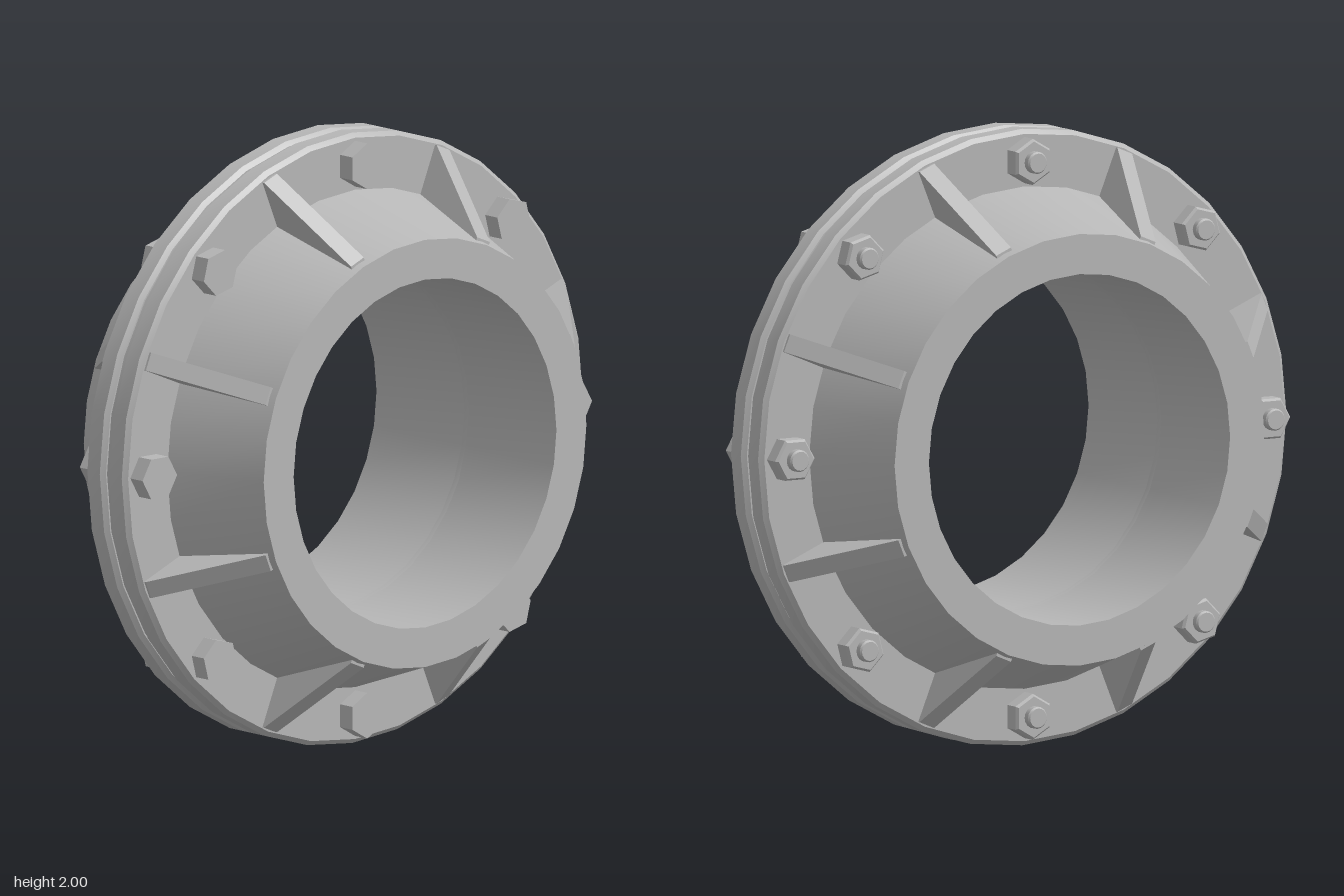
import * as THREE from 'three';
import { toCreasedNormals } from 'three/addons/utils/BufferGeometryUtils.js';

const steel = new THREE.MeshStandardMaterial({ color: 0xb6b6b6 });
steel.name = 'grey steel';

// Revolves an [radius, z] outline about the z axis, keeping hard edges
function turned(points, sides) {
  const g = new THREE.LatheGeometry(points.map(([r, z]) => new THREE.Vector2(r, z)), sides);
  g.rotateX(Math.PI / 2);
  return toCreasedNormals(g, 0.5);
}

function part(name, geometry, parent) {
  const m = new THREE.Mesh(geometry, steel);
  m.name = name;
  parent.add(m);
  return m;
}

export function createModel() {
  const model = new THREE.Group();
  model.name = 'flangedCoupling';
  const body = new THREE.Group();
  body.name = 'coupling';
  body.position.y = 1;
  model.add(body);

  // Flange disc with bevelled rim, tapered hub and straight bore
  const flangeGeo = turned([
    [0.57, 0.01], [0.985, 0.01], [1, 0.023], [1, 0.082], [0.985, 0.096],
    [0.815, 0.096], [0.7, 0.43], [0.57, 0.43], [0.57, 0.01],
  ], 32);

  // Triangular stiffening rib, in radius and z
  const ribShape = new THREE.Shape([
    [0.69, 0.08], [0.978, 0.08], [0.978, 0.104], [0.715, 0.408], [0.69, 0.408],
  ].map(([r, z]) => new THREE.Vector2(r, z)));
  const ribWidth = 0.06;
  const ribGeo = new THREE.ExtrudeGeometry(ribShape, { depth: ribWidth, bevelEnabled: false });
  ribGeo.translate(0, 0, -ribWidth / 2);
  ribGeo.rotateX(Math.PI / 2);

  // Two identical halves, back to back
  ['frontHalf', 'backHalf'].forEach((name, h) => {
    const half = new THREE.Group();
    half.name = name;
    half.rotation.y = h * Math.PI;
    body.add(half);
    part('flangeAndHub', flangeGeo, half);
    for (let i = 0; i < 8; i++) {
      part('rib', ribGeo, half).rotation.z = (i + 0.5) * Math.PI / 4;
    }
  });

  // Gasket between the flanges
  part('gasket', turned([
    [0.57, -0.012], [0.98, -0.012], [0.98, 0.012], [0.57, 0.012], [0.57, -0.012],
  ], 32), body);

  // Bolts: hexagonal head in front, nut and shank end behind
  const headGeo = turned([[0, 0.09], [0.075, 0.09], [0.075, 0.154], [0, 0.154]], 6);
  const nutGeo = turned([[0, -0.154], [0.067, -0.154], [0.075, -0.145], [0.075, -0.09], [0, -0.09]], 6);
  const shankGeo = turned([[0, -0.18], [0.031, -0.18], [0.036, -0.174], [0.036, 0.1], [0, 0.1]], 16);
  for (let i = 0; i < 8; i++) {
    const bolt = new THREE.Group();
    const a = i * Math.PI / 4;
    bolt.name = 'bolt';
    bolt.position.set(-0.9 * Math.sin(a), 0.9 * Math.cos(a), 0);
    bolt.rotation.z = a;
    part('boltHead', headGeo, bolt);
    part('nut', nutGeo, bolt);
    part('shank', shankGeo, bolt);
    body.add(bolt);
  }
  return model;
}
